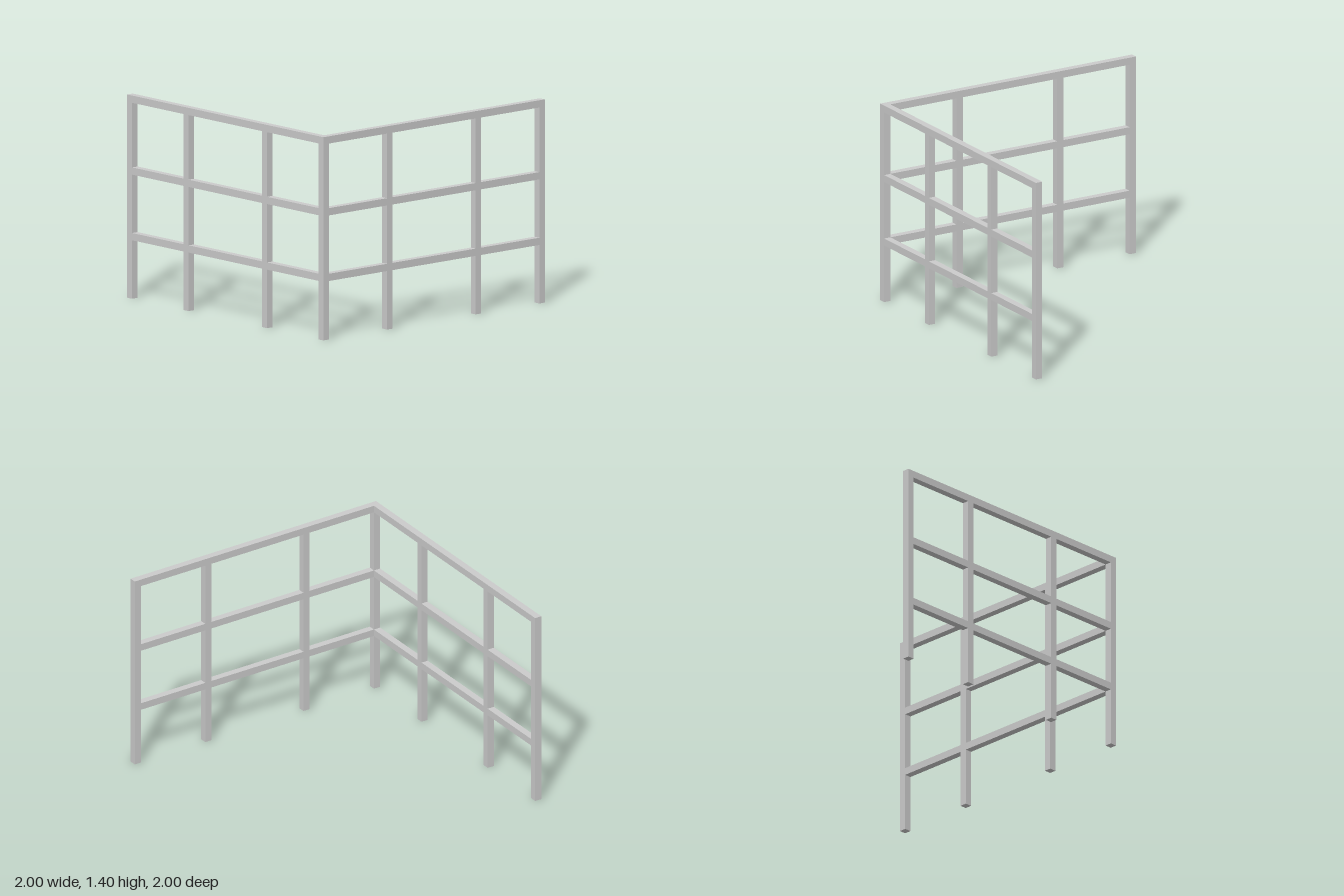
import * as THREE from 'three';

const T = 0.05;                          // square bar thickness
const H = 1.4;                           // railing height
const EDGE = 1 - T / 2;                  // centre line of the outer bars
const POSTS = [-EDGE, -0.4, 0.4, EDGE];  // post positions along a run
const RAILS = { lowerRail: 0.428, middleRail: 0.88, topRail: H - T / 2 };

const material = new THREE.MeshStandardMaterial({ color: 0xcccccc });

function bar(name, w, h, d, x, y, z) {
  const mesh = new THREE.Mesh(new THREE.BoxGeometry(w, h, d), material);
  mesh.name = name;
  mesh.position.set(x, y, z);
  return mesh;
}

// One straight run along x; rails fit between the posts so all faces are flush
function railingRun(name, posts) {
  const run = new THREE.Group();
  run.name = name;
  for (const x of posts) run.add(bar('post', T, H, T, x, H / 2, 0));
  for (const [railName, y] of Object.entries(RAILS)) {
    for (let i = 0; i < POSTS.length - 1; i++) {
      const a = POSTS[i] + T / 2, b = POSTS[i + 1] - T / 2;
      run.add(bar(railName, b - a, T, T, (a + b) / 2, y, 0));
    }
  }
  return run;
}

export function createModel() {
  const model = new THREE.Group();
  model.name = 'cornerRailing';

  // Front run, including the shared corner post
  const front = railingRun('frontRailing', POSTS);
  front.position.z = EDGE;
  model.add(front);

  // Side run at +x, turned to go back from the corner post
  const side = railingRun('sideRailing', POSTS.slice(1));
  side.rotation.y = Math.PI / 2;
  side.position.x = EDGE;
  model.add(side);

  return model;
}
